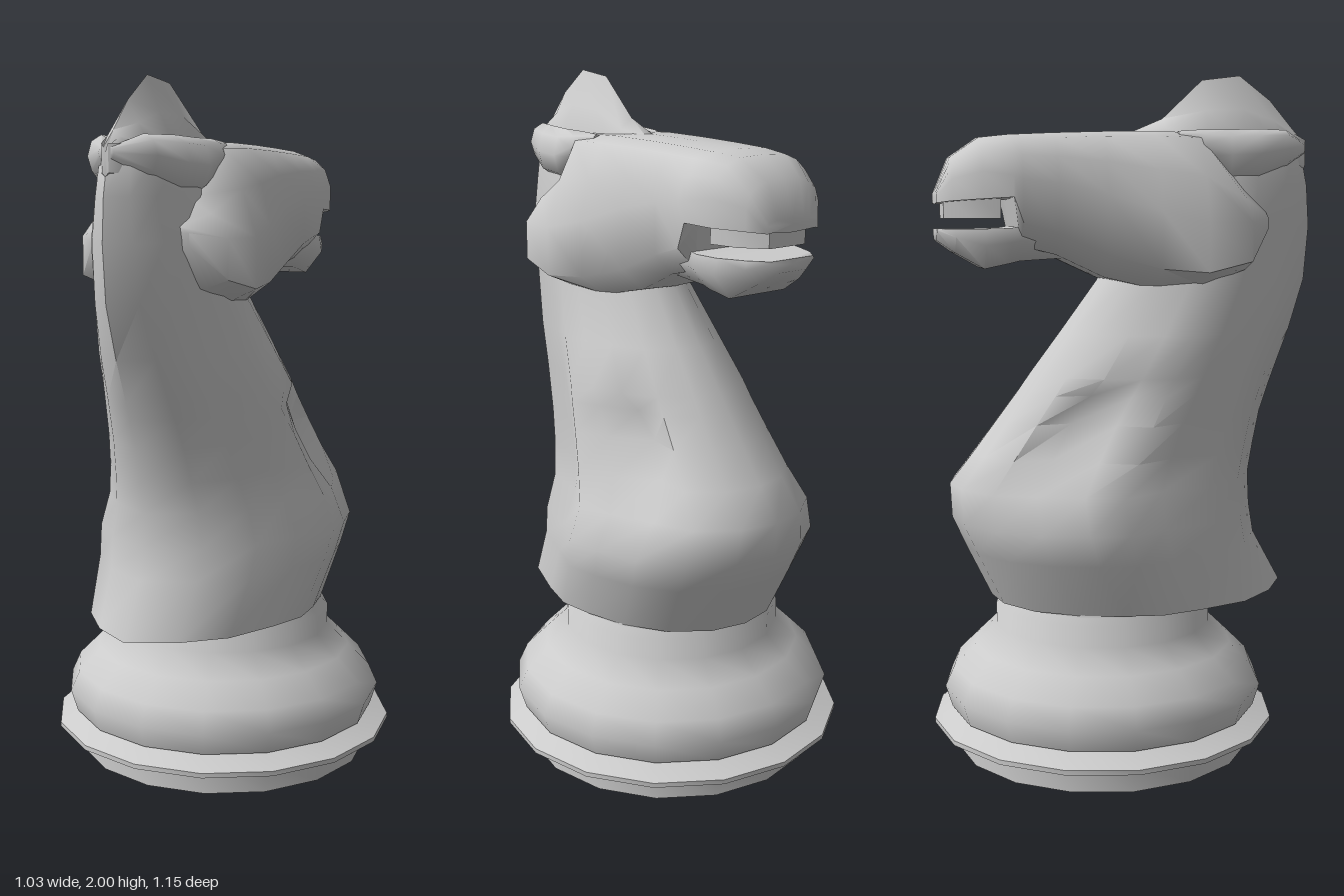
import * as THREE from 'three';
import { mergeVertices, toCreasedNormals } from 'three/addons/utils/BufferGeometryUtils.js';

const material = new THREE.MeshStandardMaterial({ color: 0xcccccc });

// Complete a half-section that runs from centre line to centre line on the +x side
const mirror = h => [...h, ...h.slice(1, -1).reverse().map(([x, y, z]) => [-x, y, z])];

// Skin a row of closed rings and close both ends
function loft(rings, crease) {
  const n = rings[0].length, last = rings.length - 1, tris = [];
  for (let i = 0; i < last; i++) for (let j = 0; j < n; j++) {
    const k = (j + 1) % n, a = rings[i][j], b = rings[i][k], c = rings[i + 1][k], d = rings[i + 1][j];
    tris.push([a, b, c], [a, c, d]);
  }
  for (const [ring, flip] of [[rings[0], true], [rings[last], false]]) {
    const m = [0, 1, 2].map(q => ring.reduce((s, p) => s + p[q], 0) / n);
    ring.forEach((p, j) => {
      const next = ring[(j + 1) % n];
      tris.push(flip ? [m, next, p] : [m, p, next]);
    });
  }
  // Signed volume decides whether the corner order must be reversed
  const V = p => new THREE.Vector3(...p);
  const volume = tris.reduce((s, [a, b, c]) => s + V(a).dot(V(b).cross(V(c))), 0);
  if (volume < 0) tris.forEach(t => t.reverse());
  const geo = new THREE.BufferGeometry();
  geo.setAttribute('position', new THREE.Float32BufferAttribute(tris.flat(2), 3));
  return toCreasedNormals(mergeVertices(geo), crease);
}

export function createModel() {
  const group = new THREE.Group();
  const add = (name, geo) => {
    const mesh = new THREE.Mesh(geo, material);
    mesh.name = name;
    group.add(mesh);
    return mesh;
  };

  // Turned pedestal, sixteen sides
  const profile = [[0, 0], [0.445, 0], [0.445, 0.078], [0.515, 0.078], [0.515, 0.092], [0.45, 0.122], [0.462, 0.125],
    [0.482, 0.19], [0.455, 0.25], [0.39, 0.315], [0.325, 0.378], [0.325, 0.44], [0.305, 0.458], [0.305, 0.475], [0, 0.475]];
  const lathe = new THREE.LatheGeometry(profile.map(p => new THREE.Vector2(...p)), 16);
  lathe.deleteAttribute('normal');
  lathe.deleteAttribute('uv');
  add('pedestal', toCreasedNormals(mergeVertices(lathe), 0.9)).position.z = -0.062;

  // Neck and chest: [height, back z, front z, half width, shoulder hollow, neck groove]
  const neck = [
    [0.465, 0.5, -0.4, 0.325, 0, 0], [0.62, 0.415, -0.475, 0.358, 0, 0.01], [0.71, 0.4, -0.515, 0.375, 0, 0.025],
    [0.81, 0.395, -0.52, 0.34, 0.03, 0.035], [0.9, 0.41, -0.45, 0.312, 0.08, 0.04], [1.0, 0.43, -0.375, 0.287, 0.085, 0.035],
    [1.08, 0.457, -0.315, 0.265, 0.05, 0.03], [1.13, 0.475, -0.28, 0.25, 0, 0.025], [1.25, 0.52, -0.19, 0.218, 0, 0.015],
    [1.4, 0.565, -0.08, 0.175, 0, 0.01], [1.56, 0.578, 0, 0.16, 0, 0], [1.68, 0.57, 0.05, 0.135, 0, 0],
    [1.78, 0.55, 0.1, 0.12, 0, 0], [1.82, 0.5, 0.15, 0.11, 0, 0]];
  // Around the neck from mane to chest: [share of half width, share of depth, hollow weight, groove weight]
  const around = [[0, 0, 0, 0], [0.4, 0.08, 0, 0], [0.72, 0.2, 0, 0.3], [0.9, 0.37, 0, 1], [1, 0.5, 0, 0],
    [0.96, 0.62, 0.4, 0], [0.86, 0.76, 1, 0], [0.65, 0.89, 0.1, 0], [0.33, 0.975, 0, 0], [0, 1, 0, 0]];
  add('neck', loft(neck.map(([y, back, front, w, hollow, groove]) => mirror(around.map(([f, t, h, g]) =>
    [f * w - h * hollow - g * groove, y, back + (front - back) * t]))), 1.1));

  // Head: [z, top, bottom, brow half width, cheek half width, cheek top, cheek bottom, underside half width]
  const head = [
    [0.4, 1.62, 1.52, 0.08, 0.155, 1.585, 1.55, 0.09],
    [0.33, 1.7, 1.43, 0.11, 0.235, 1.57, 1.46, 0.16],
    [0.2, 1.83, 1.385, 0.145, 0.25, 1.57, 1.43, 0.16],
    [0.07, 1.833, 1.375, 0.15, 0.225, 1.6, 1.44, 0.14],
    [-0.08, 1.83, 1.41, 0.148, 0.195, 1.65, 1.48, 0.12],
    [-0.22, 1.825, 1.475, 0.145, 0.19, 1.68, 1.54, 0.13],
    [-0.32, 1.82, 1.5, 0.142, 0.195, 1.69, 1.57, 0.13],
    [-0.345, 1.819, 1.635, 0.14, 0.195, 1.7, 1.64, 0.15],
    [-0.43, 1.81, 1.63, 0.125, 0.178, 1.71, 1.635, 0.15],
    [-0.51, 1.755, 1.625, 0.09, 0.13, 1.69, 1.63, 0.11],
    [-0.55, 1.66, 1.622, 0.06, 0.09, 1.645, 1.625, 0.08]];
  add('head', loft(head.map(([z, top, low, brow, cheek, ct, cb, under]) => mirror([
    [0, top, z], [brow * 0.65, top - 0.003, z], [brow, top - 0.02 * Math.min(1, (top - ct) / 0.1), z],
    [(brow + cheek) / 2 + 0.008, (top + ct) / 2, z], [cheek, ct, z], [cheek, cb, z], [under, low + 0.005, z], [0, low, z]])), 1.1));

  // Lower jaw: [z, top, bottom, half width]
  const jaw = [[-0.18, 1.54, 1.47, 0.14], [-0.32, 1.56, 1.462, 0.16], [-0.35, 1.555, 1.455, 0.165],
    [-0.42, 1.553, 1.44, 0.155], [-0.5, 1.553, 1.485, 0.12], [-0.55, 1.553, 1.52, 0.08]];
  add('lowerJaw', loft(jaw.map(([z, top, low, w]) => mirror([
    [0, top, z], [w * 0.95, top, z], [w, (top + low) / 2 + 0.01, z], [w * 0.65, low, z], [0, low, z]])), 1.1));

  // Upper teeth
  const teeth = [[-0.375, 0.13], [-0.46, 0.115], [-0.53, 0.065]];
  add('upperTeeth', loft(teeth.map(([z, w]) => mirror([[0, 1.66, z], [w, 1.66, z], [w, 1.582, z], [0, 1.582, z]])), 0.8));

  // Forelock crest between the ears: [z, top, half width]
  const crest = [[0.56, 1.785, 0.01], [0.52, 1.85, 0.04], [0.45, 1.93, 0.065], [0.355, 2, 0.08],
    [0.24, 1.985, 0.085], [0.12, 1.872, 0.08], [0.03, 1.834, 0.04]];
  add('crest', loft(crest.map(([z, top, w]) => mirror([
    [0, top, z], [w * 0.5, top * 0.45 + 1.82 * 0.55, z], [w, 1.815, z], [w, 1.74, z], [0, 1.73, z]])), 1.2));

  // Ears laid back along the sides of the crest: [z, centre x, centre y, half width, half height]
  const ear = [[0.555, 0.012, 1.79, 0.012, 0.015], [0.48, 0.065, 1.785, 0.045, 0.055], [0.38, 0.1, 1.767, 0.05, 0.073],
    [0.29, 0.11, 1.762, 0.048, 0.074], [0.21, 0.115, 1.79, 0.04, 0.045], [0.14, 0.11, 1.815, 0.015, 0.015]];
  for (const side of [1, -1]) {
    add(side > 0 ? 'leftEar' : 'rightEar', loft(ear.map(([z, x, y, w, h]) =>
      Array.from({ length: 8 }, (_, i) => {
        const a = i * Math.PI / 4;
        return [side * (x + w * Math.sin(a)), y + h * Math.cos(a), z];
      })), 1.1));
  }
  return group;
}
